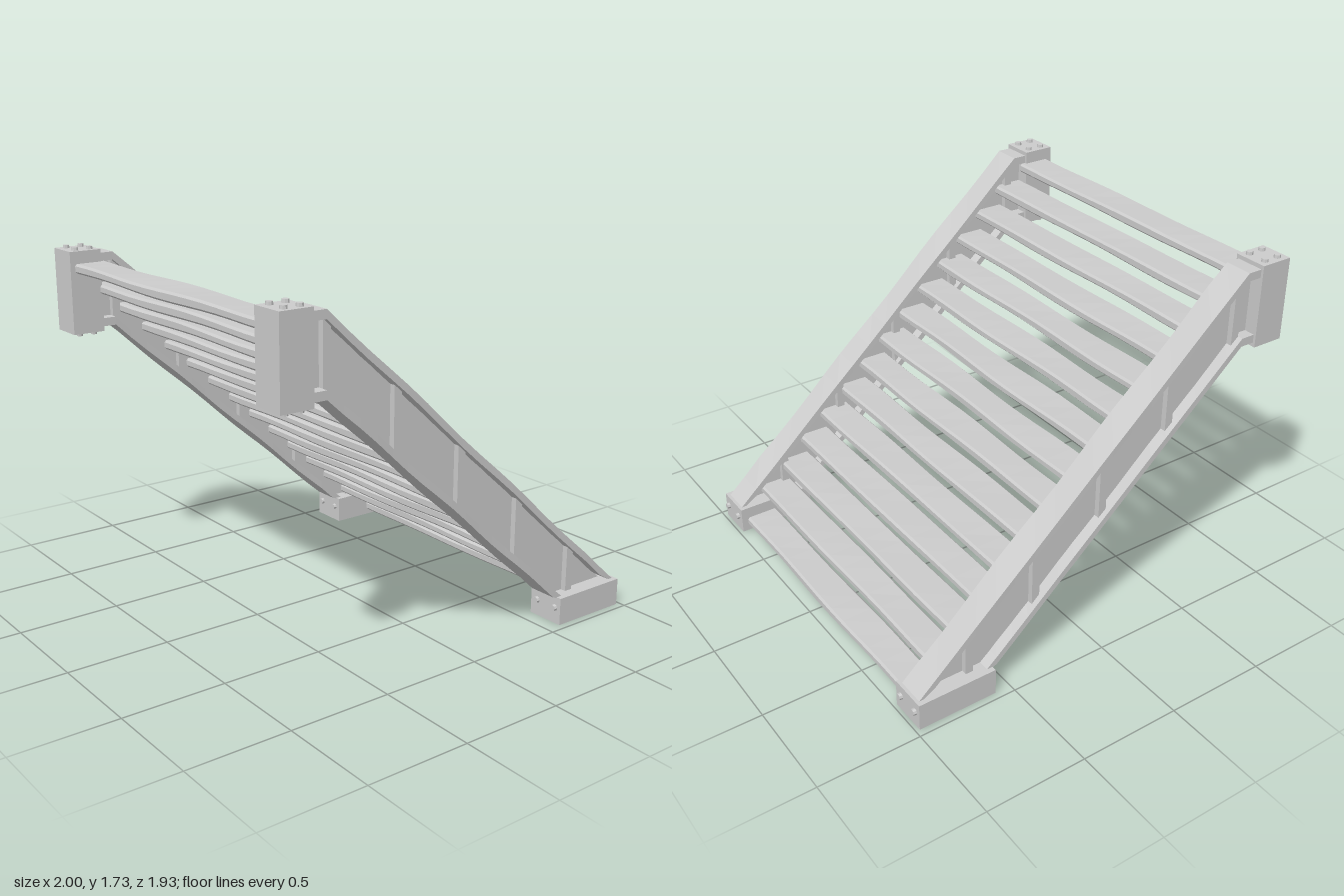
import * as THREE from 'three';

const material = new THREE.MeshStandardMaterial({ color: 0xcccccc, flatShading: true });
const SLOPE = 0.897, KINK = -0.77;

// height of the stringer's edge at x, for a given height of the flat top end
const edgeY = (x, top) => top - SLOPE * Math.max(0, x - KINK);

function add(parent, name, geometry, x = 0, y = 0, z = 0) {
  const mesh = new THREE.Mesh(geometry, material);
  mesh.name = name;
  mesh.position.set(x, y, z);
  parent.add(mesh);
  return mesh;
}

function moveVertices(geometry, rule) {
  const p = geometry.attributes.position;
  const v = new THREE.Vector3();
  for (let i = 0; i < p.count; i++) {
    rule(v.fromBufferAttribute(p, i));
    p.setXYZ(i, v.x, v.y, v.z);
  }
  geometry.computeVertexNormals();
  return geometry;
}

// sloping strip with a short level end, its edges slightly worn
function flangeGeometry(top, xEnd, thick, width, seed) {
  const segments = 18;
  return moveVertices(new THREE.BoxGeometry(1, 1, 1, segments, 1, 1), v => {
    const i = Math.round((v.x + 0.5) * segments);
    const x = i === 0 ? -0.85 : KINK + (xEnd - KINK) * (i - 1) / (segments - 1);
    const wear = i > 1 && i < segments - 1 ? Math.sin(i * 1.1 + seed + v.z * 2) * 0.004 : 0;
    v.set(x, Math.max(0.11, edgeY(x, top) - (v.y > 0 ? 0 : thick) + wear),
      v.z * (width + wear));
  });
}

function extrudeCentred(points, depth, steps = 1) {
  const shape = new THREE.Shape(points.map(([x, y]) => new THREE.Vector2(x, y)));
  return new THREE.ExtrudeGeometry(shape, { depth, steps, bevelEnabled: false })
    .translate(0, 0, -depth / 2);
}

function buildStringer(side) {
  const group = new THREE.Group();
  group.name = side > 0 ? 'frontStringer' : 'backStringer';
  group.position.z = side * 0.87;

  // I-beam: two flanges, web and upright stiffeners
  add(group, 'topFlange', flangeGeometry(1.69, 0.98, 0.04, 0.14, side));
  add(group, 'bottomFlange', flangeGeometry(1.37, 0.64, 0.04, 0.14, side + 2));
  add(group, 'web', extrudeCentred([
    [-0.85, 1.35], [KINK, 1.35], [0.6, 0.12], [0.94, 0.12], [KINK, 1.67], [-0.85, 1.67],
  ], 0.03));
  for (const x of [-0.75, -0.39, -0.03, 0.33, 0.685]) {
    const a = x - 0.02, b = x + 0.02;
    const low = u => Math.max(0.12, edgeY(u, 1.35));
    add(group, 'stiffener', extrudeCentred([
      [a, low(a)], [b, low(b)], [b, edgeY(b, 1.67)], [a, edgeY(a, 1.67)],
    ], 0.085));
  }

  // end blocks
  add(group, 'topBlock', new THREE.BoxGeometry(0.16, 0.4, 0.165), -0.92, 1.51, 0);
  add(group, 'footBlock', new THREE.BoxGeometry(0.4, 0.135, 0.19), 0.78, 0.0675, 0);

  // bolt heads above and below the top block, and at both ends of the foot
  const bolt = new THREE.CylinderGeometry(0.015, 0.018, 0.03, 8);
  for (const z of [-0.047, 0.047]) {
    for (const x of [-0.955, -0.88]) {
      add(group, 'bolt', bolt, x, 1.71, z);
      add(group, 'bolt', bolt, x, 1.31, z).rotation.x = Math.PI;
    }
  }
  for (const z of [-0.055, 0.06]) {
    add(group, 'bolt', bolt, 0.98, 0.08, z * side).rotation.z = -Math.PI / 2;
    add(group, 'bolt', bolt, 0.58, 0.08, z * side).rotation.z = Math.PI / 2;
  }
  return group;
}

// plank with chamfered edges, gently uneven along its length
function treadGeometry(length, seed) {
  const w = 0.083, h = 0.023, c = 0.01;
  const geometry = extrudeCentred([
    [-w + c, -h], [w - c, -h], [w, -h + c], [w, h - c],
    [w - c, h], [-w + c, h], [-w, h - c], [-w, -h + c],
  ], length, 14);
  return moveVertices(geometry, v => {
    const fade = 1 - Math.pow(Math.abs(v.z) / (length / 2), 4);
    const front = Math.sign(v.x), upper = Math.sign(v.y);
    v.x += fade * 0.004 * Math.sin(v.z * 5 + seed * 2.3 + front);
    v.y += fade * 0.004 * Math.sin(v.z * 6 + seed * 1.7 + front * 0.8 + upper * 0.6);
  });
}

export function createModel() {
  const model = new THREE.Group();
  model.name = 'staircase';
  model.add(buildStringer(1), buildStringer(-1));

  const treads = new THREE.Group();
  treads.name = 'treads';
  for (let i = 0; i < 15; i++) {
    const length = i === 0 || i === 14 ? 1.6 : 1.71;
    add(treads, 'tread', treadGeometry(length, i), -0.893 + 0.1255 * i, 1.627 - 0.1125 * i, 0);
  }
  model.add(treads);
  return model;
}
